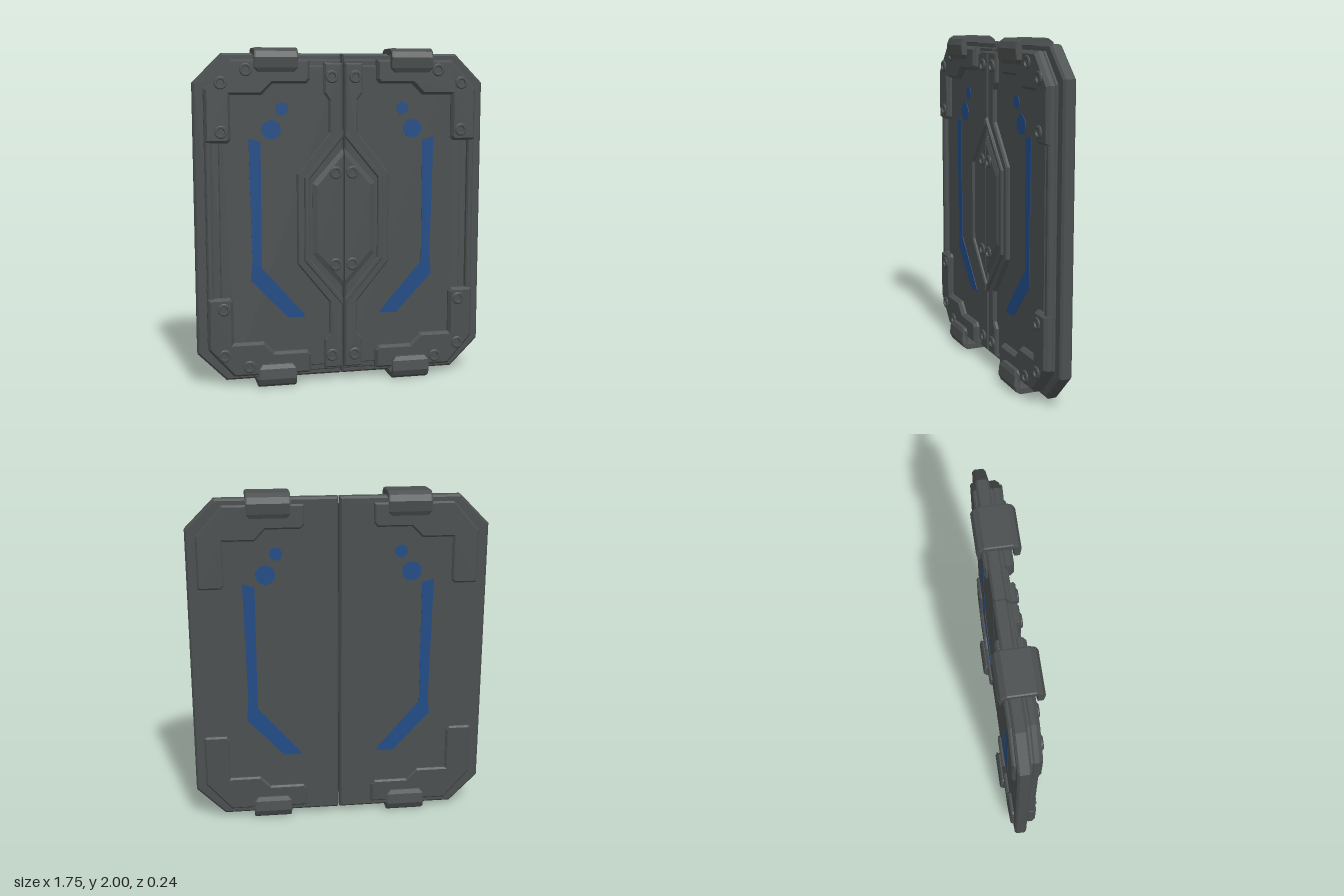
import * as THREE from 'three';

export function createModel() {
  const model = new THREE.Group();
  model.name = 'doublePanel';
  const metal = new THREE.MeshStandardMaterial({ color: 0x4b4f4f });
  metal.name = 'dark metal';
  const blue = new THREE.MeshStandardMaterial({ color: 0x214c86 });
  blue.name = 'blue paint';

  const add = (geo, mat, name, parent = model) => {
    const mesh = new THREE.Mesh(geo, mat);
    mesh.name = name;
    parent.add(mesh);
    return mesh;
  };

  // Shape from points, optionally mirrored in x and about y = 1
  const shapeOf = (pts, sx = 1, sy = 1) =>
    new THREE.Shape(pts.map(([x, y]) => new THREE.Vector2(x * sx, 1 + (y - 1) * sy)));

  // Plate between two depths with chamfered edges that stay inside the outline
  const plate = (shape, z0, z1, b = 0, bt = b) => {
    const geo = new THREE.ExtrudeGeometry(shape, {
      depth: z1 - z0 - 2 * bt, bevelEnabled: b > 0, bevelSize: b,
      bevelThickness: bt, bevelOffset: -b, bevelSegments: 1, curveSegments: 6,
    });
    geo.translate(0, 0, z0 + bt);
    return geo;
  };

  // Completes an upper outline (top to middle) with its reflection about y = 1
  const symmetric = (pts) => [...pts, ...pts.map(([x, y]) => [x, 2 - y]).reverse()];

  const slab = symmetric([[0.004, 1.97], [0.705, 1.97], [0.875, 1.8]]);
  const backing = symmetric([[0.008, 1.935], [0.665, 1.935], [0.815, 1.77]]);
  const field = symmetric([[0.02, 1.9], [0.65, 1.9], [0.735, 1.8]]);
  const rail = symmetric([[0.775, 1.5], [0.812, 1.5]]);
  const strap = symmetric([
    [0.008, 1.915], [0.115, 1.915], [0.115, 1.74], [0.085, 1.7], [0.085, 1.51], [0.278, 1.27],
  ]);
  const ridge = [
    [0.004, 1.53], [0.238, 1.25], [0.238, 0.75], [0.004, 0.47],
    [0.004, 0.515], [0.205, 0.76], [0.205, 1.24], [0.004, 1.485],
  ];
  const hexPlate = symmetric([[0.004, 1.42], [0.19, 1.21]]);
  const bracket = [
    [0.815, 1.46], [0.815, 1.765], [0.665, 1.935], [0.2, 1.935], [0.2, 1.82], [0.22, 1.795],
    [0.42, 1.795], [0.485, 1.73], [0.665, 1.73], [0.665, 1.475], [0.68, 1.455], [0.8, 1.455],
  ];
  const stripe = [
    [0.56, 1.48], [0.49, 1.46], [0.49, 0.715], [0.23, 0.415], [0.24, 0.405],
    [0.335, 0.405], [0.555, 0.64], [0.545, 0.75],
  ];
  const dots = [[0.427, 1.53, 0.058], [0.364, 1.65, 0.038]];

  // Screw head with a recessed socket
  const screwGeo = new THREE.LatheGeometry(
    [[0.038, 0], [0.038, 0.008], [0.032, 0.013], [0.023, 0.013], [0.019, 0.004], [0, 0.004]]
      .map(([r, h]) => new THREE.Vector2(r, h)), 16).toNonIndexed();
  screwGeo.computeVertexNormals();
  screwGeo.rotateX(Math.PI / 2);
  const screw = (x, y, z, parent) =>
    add(screwGeo, metal, 'screw', parent).position.set(x, y, z);

  // Clamp: C-shaped section swept along x, with narrowed leg tips
  const clampSection = [
    [0.1, 1.86], [0.113, 1.885], [0.12, 1.945], [0.105, 1.98], [0.075, 2.0], [-0.075, 2.0],
    [-0.105, 1.98], [-0.12, 1.945], [-0.112, 1.885], [-0.1, 1.86], [-0.086, 1.86],
    [-0.086, 1.885], [-0.086, 1.96], [0.078, 1.96], [0.078, 1.885], [0.078, 1.86],
  ];
  const clamp = (x0, x1, sy) => {
    const geo = plate(shapeOf(clampSection, -1, sy), x0, x1, 0.003, 0.008);
    geo.rotateY(Math.PI / 2);
    const p = geo.attributes.position;
    const mid = (x0 + x1) / 2;
    for (let i = 0; i < p.count; i++) {
      if (Math.abs(p.getY(i) - 1) < 0.875) p.setX(i, mid + (p.getX(i) - mid) * 0.84);
    }
    geo.computeVertexNormals();
    return geo;
  };

  for (const s of [1, -1]) {
    const half = new THREE.Group();
    half.name = s > 0 ? 'leftPanel' : 'rightPanel';
    model.add(half);
    const part = (pts, z0, z1, b, bt, name) =>
      add(plate(shapeOf(pts, s), z0, z1, b, bt), metal, name, half);

    // Layered panel body
    part(slab, -0.07, 0.004, 0.012, 0.012, 'slab');
    part(backing, 0, 0.022, 0.006, 0.006, 'backingPlate');
    part(field, 0.01, 0.036, 0.006, 0.006, 'innerField');
    part(rail, 0.01, 0.055, 0.008, 0.008, 'sideRail');

    // Centre strap, hexagonal ridge and faceted hexagon plate
    part(strap, 0.01, 0.06, 0.009, 0.009, 'centreStrap');
    part(ridge, 0.05, 0.076, 0.007, 0.007, 'hexRidge');
    const hex = part(hexPlate, 0.03, 0.074, 0.03, 0.012, 'hexPlate').geometry;
    const p = hex.attributes.position;
    for (let i = 0; i < p.count; i++) {
      if (Math.abs(p.getX(i)) < 0.04) p.setX(i, 0.004 * s);
    }
    hex.computeVertexNormals();

    for (const v of [1, -1]) {
      const Y = (y) => 1 + (y - 1) * v;
      // Corner brackets on both faces
      add(plate(shapeOf(bracket, s, v), 0.005, 0.07, 0.015, 0.02), metal, 'frontBracket', half);
      add(plate(shapeOf(bracket, s, v), -0.09, -0.06, 0.01, 0.01), metal, 'backBracket', half);

      // Screws
      for (const [x, y] of [[0.72, 1.8], [0.575, 1.875], [0.722, 1.52]]) screw(x * s, Y(y), 0.067, half);
      screw(0.07 * s, Y(1.835), 0.058, half);
      screw(0.05 * s, Y(1.275), 0.071, half);

      // Edge clamps
      const [a, b] = v > 0 ? [0.278, 0.53] : [0.297, 0.525];
      add(clamp(s > 0 ? a : -b, s > 0 ? b : -a, v), metal, v > 0 ? 'topClamp' : 'bottomClamp', half);
    }

    // Painted marks on the front and back
    for (const [z0, z1, side] of [[0.034, 0.039, 'front'], [-0.073, -0.068, 'back']]) {
      add(plate(shapeOf(stripe, s), z0, z1), blue, side + 'Stripe', half);
      for (const [x, y, r] of dots) {
        const circle = new THREE.Shape().absarc(x * s, y, r, 0, Math.PI * 2);
        add(plate(circle, z0, z1), blue, side + 'Dot', half);
      }
    }
  }
  return model;
}
